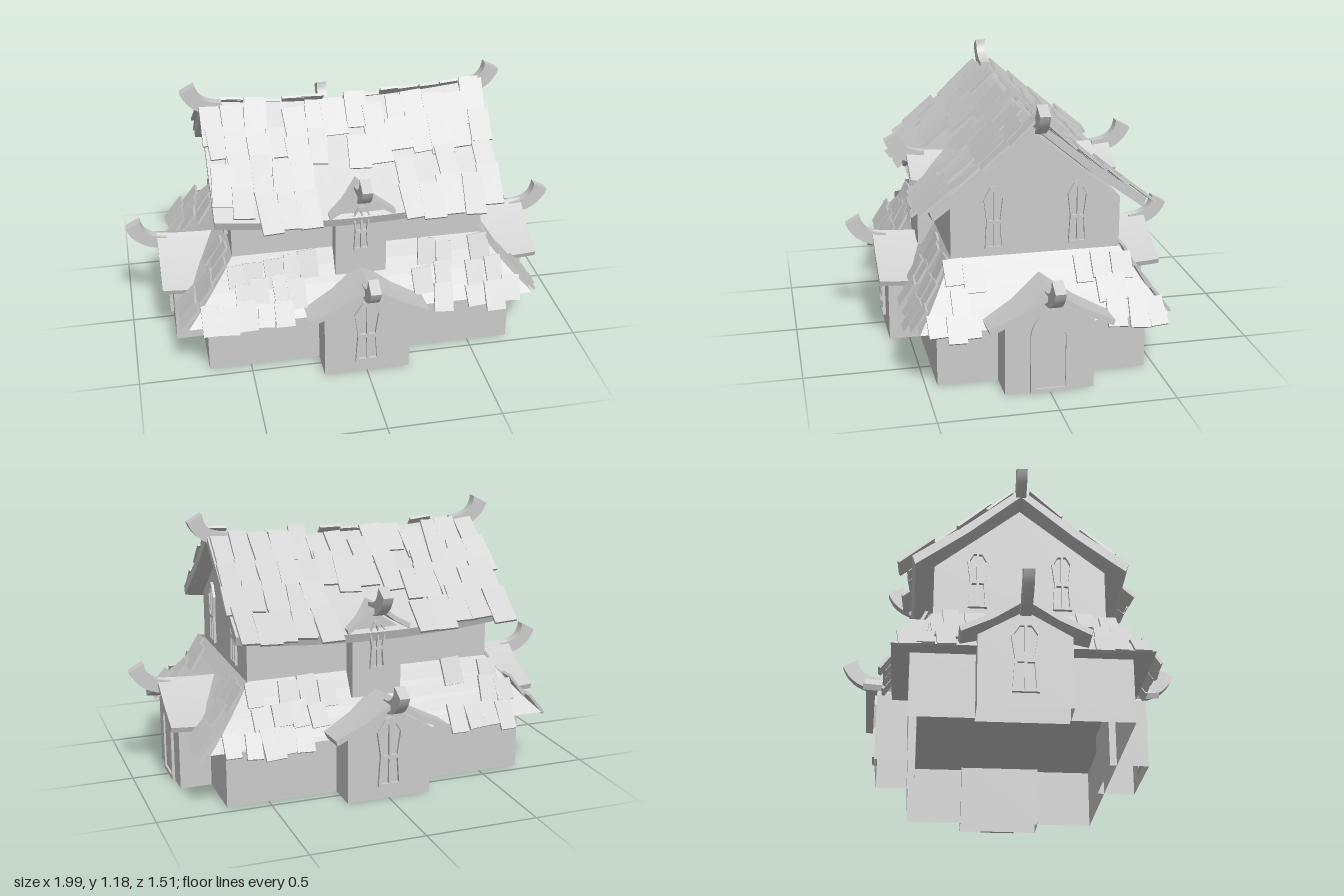
import * as THREE from 'three';
import { mergeGeometries, toCreasedNormals } from 'three/addons/utils/BufferGeometryUtils.js';

const flat = new THREE.MeshStandardMaterial({ color: 0xcccccc, flatShading: true, side: THREE.DoubleSide });
const smooth = new THREE.MeshStandardMaterial({ color: 0xcccccc, side: THREE.DoubleSide });
const V = (x, y, z) => new THREE.Vector3(x, y, z);

let seed = 7;
const rand = () => (seed = (seed * 16807) % 2147483647) / 2147483647;
const jitter = a => (rand() - 0.5) * 2 * a;

function add(parent, name, geometry, material = flat) {
  const mesh = new THREE.Mesh(geometry, material);
  mesh.name = name;
  parent.add(mesh);
  return mesh;
}

function shapeOf(points) {
  return new THREE.Shape(points.map(p => new THREE.Vector2(p[0], p[1])));
}

function extrude(shape, depth, steps = 1) {
  return new THREE.ExtrudeGeometry(shape, { depth, steps, bevelEnabled: false, curveSegments: 8 });
}

// Move every vertex by a rule
function warp(geometry, rule) {
  const p = geometry.attributes.position;
  for (let i = 0; i < p.count; i++) {
    const v = V().fromBufferAttribute(p, i);
    rule(v, i);
    p.setXYZ(i, v.x, v.y, v.z);
  }
  return geometry;
}

// Walls following a profile from z0 to z1, closed at the ends, open underneath
function walls(profile, z0, z1) {
  const n = profile.length;
  const skin = warp(new THREE.PlaneGeometry(1, 1, n - 1, 1), (v, i) => {
    v.set(...profile[i % n], i < n ? z0 : z1);
  });
  const front = new THREE.ShapeGeometry(shapeOf(profile)).translate(0, 0, z1);
  const back = new THREE.ShapeGeometry(shapeOf(profile)).rotateY(Math.PI).translate(0, 0, z0);
  return mergeGeometries([skin, front, back]);
}

const house = (w, base, eave, peak) => [[-w, base], [-w, eave], [0, peak], [w, eave], [w, base]];

// Slightly hollow gable roof slab running along z
function gableRoof(w, eave, peak, thick, dip, z0, z1, bend) {
  const mid = (eave + peak) / 2 - dip;
  const top = [[-w, eave], [-w / 2, mid], [0, peak], [w / 2, mid], [w, eave]];
  const under = top.map(([x, y]) => [x * 0.97, y - thick]).reverse();
  const g = extrude(shapeOf([...top, ...under]), z1 - z0, 12).translate(0, 0, z0);
  return toCreasedNormals(warp(g, bend), 0.5);
}

// Curved ridge horn, pointing along +z, based at the ridge end
function horn(parent, y, z) {
  const s = new THREE.Shape();
  s.moveTo(-0.04, -0.065);
  s.quadraticCurveTo(0.1, -0.055, 0.14, 0.05);
  s.lineTo(0.075, 0.085);
  s.quadraticCurveTo(0.07, 0, -0.04, -0.005);
  const g = extrude(s, 0.045).translate(0, 0, -0.0225).rotateY(-Math.PI / 2).translate(0, y, z);
  add(parent, 'ridgeHorn', toCreasedNormals(g, 0.6), smooth);
}

// Waisted, pointed window frame with four panes cut out
function windowFrame(parent, x, y, z, w, h) {
  const half = t => w * (t < 0.45 ? 0.9 - t * 0.35 : t < 0.78 ? 0.74 + (t - 0.45) * 0.75 : 0.99 - (t - 0.78) * 3.3);
  const levels = [0, 0.45, 0.78, 0.97];
  const shape = shapeOf([
    ...levels.map(t => [half(t), t * h]), [0, h], ...levels.map(t => [-half(t), t * h]).reverse()]);
  for (const side of [-1, 1]) {
    for (const ts of [[0.04, 0.4], [0.45, 0.78, 0.9]]) {
      const pane = [...ts.map(t => [half(t) - w * 0.2, t * h]), ...ts.map(t => [w * 0.1, t * h]).reverse()];
      shape.holes.push(new THREE.Path(pane.map(([px, py]) => new THREE.Vector2(px * side, py))));
    }
  }
  add(parent, 'windowFrame', extrude(shape, 0.02).translate(x, y, z - 0.005));
}

// Pointed arch outline
function arch(ShapeType, w, y0, spring, top) {
  const s = new ShapeType();
  s.moveTo(-w, y0);
  s.lineTo(w, y0);
  s.lineTo(w, spring);
  s.quadraticCurveTo(w * 0.9, top - 0.04, 0, top);
  s.quadraticCurveTo(-w * 0.9, top - 0.04, -w, spring);
  s.lineTo(-w, y0);
  return s;
}

function door(parent, z) {
  const frame = arch(THREE.Shape, 0.083, 0, 0.26, 0.375);
  frame.holes.push(arch(THREE.Path, 0.066, 0.018, 0.25, 0.33));
  add(parent, 'doorFrame', extrude(frame, 0.018).translate(0, 0, z - 0.005));
  add(parent, 'doorPanel', extrude(arch(THREE.Shape, 0.068, 0.016, 0.25, 0.332), 0.008).translate(0, 0, z - 0.004));
}

// Shingles laid in jittered rows on a slope f(across, down)
function shingles(parent, name, f, rows, size, keep, span) {
  const list = [];
  for (const v of rows) {
    const limit = span(v);
    const count = Math.round(limit * 2 / (size[0] * 0.98));
    for (let i = 0; i < count; i++) {
      const s = -limit + (i + 0.5) * 2 * limit / count + jitter(0.012);
      const vv = v + jitter(0.06);
      const [r1, r2, r3] = [rand(), rand(), rand()];
      if (!keep(s, vv, r1)) continue;
      const down = f(s, vv + 0.05).sub(f(s, vv - 0.05)).normalize();
      const across = f(s + 0.01, vv).sub(f(s - 0.01, vv)).normalize();
      const n = V().crossVectors(down, across).normalize();
      across.crossVectors(n, down);
      const g = new THREE.BoxGeometry(size[0] * (0.85 + r2 * 0.3), 0.012, size[1] * (0.85 + r3 * 0.35));
      g.rotateX(0.05 + r2 * 0.06).rotateY(jitter(0.09));
      g.applyMatrix4(new THREE.Matrix4().makeBasis(across, n, down));
      const p = f(s, vv).addScaledVector(n, 0.014);
      list.push(g.translate(p.x, p.y, p.z));
    }
  }
  add(parent, name, mergeGeometries(list));
}

export function createModel() {
  const model = new THREE.Group();
  const facing = (name, angle) => {
    const g = new THREE.Group();
    g.name = name;
    g.rotation.y = angle;
    model.add(g);
    return g;
  };

  // Ground floor
  add(model, 'groundFloorWalls', walls([[-0.685, 0], [-0.685, 0.28], [0.685, 0.28], [0.685, 0]], -0.455, 0.45));

  // Skirt roof around the ground floor
  const corners = [[-1, 1], [1, 1], [1, -1], [-1, -1], [-1, 1]];
  const skirtY = v => 0.53 - 0.255 * v - 0.05 * v * (1 - v);
  add(model, 'skirtRoof', warp(new THREE.PlaneGeometry(1, 1, 4, 4), (p, i) => {
    const [cx, cz] = corners[i % 5], v = Math.floor(i / 5) / 4;
    p.set(cx * (0.55 + 0.22 * v), skirtY(v), cz * (0.36 + 0.17 * v));
  }));
  add(model, 'skirtSoffit', new THREE.PlaneGeometry(1.54, 1.06).rotateX(Math.PI / 2).translate(0, 0.275, 0));

  // Upper floor and its sagging main roof, both running along x
  const upper = facing('upperFloor', Math.PI / 2);
  const sag = z => 0.04 * (z / 0.62) ** 2;
  add(upper, 'upperWalls', warp(walls(house(0.365, 0.45, 0.71, 1.0), -0.555, 0.56), p => {
    if (p.y > 0.6) p.y += sag(p.z);
  }));
  add(upper, 'mainRoof', gableRoof(0.46, 0.71, 1.06, 0.04, 0.012, -0.63, 0.63, p => { p.y += sag(p.z); }), smooth);

  // Gable windows and main ridge horns
  for (const side of [-1, 1]) {
    const end = facing('gableEnd', side * Math.PI / 2);
    for (const x of [-0.18, 0.18]) windowFrame(end, x, 0.55, 0.557, 0.045, 0.28);
    horn(end, 1.1, 0.575);
  }

  // Projecting bays: angle, wall front, wall back, roof front, roof back, horn position
  const bays = [
    ['frontBay', 0, 0.59, 0.42, 0.635, 0.38, 0.615],
    ['backBay', Math.PI, 0.595, 0.42, 0.655, 0.38, 0.62],
    ['doorBay', Math.PI / 2, 0.825, 0.65, 0.872, 0.6, 0.857],
    ['leftBay', -Math.PI / 2, 0.81, 0.65, 0.86, 0.6, 0.857],
  ];
  for (const [name, angle, front, back, roofFront, roofBack, hornZ] of bays) {
    const bay = facing(name, angle);
    add(bay, 'bayWalls', walls(house(0.19, 0, 0.305, 0.415), back, front));
    add(bay, 'bayRoof', gableRoof(0.265, 0.305, 0.45, 0.024, 0.012, roofBack, roofFront, p => {
      p.y += 0.012 * ((p.z - roofBack) / (roofFront - roofBack)) ** 2;
    }), smooth);
    horn(bay, 0.455, hornZ);
    if (name === 'doorBay') door(bay, front);
    else windowFrame(bay, 0, 0.06, front, 0.06, 0.315);
  }

  // Upper dormers
  for (const angle of [0, Math.PI]) {
    const dormer = facing('dormer', angle);
    add(dormer, 'dormerWalls', walls(house(0.112, 0.42, 0.715, 0.79), 0.32, 0.44));
    add(dormer, 'dormerRoof', gableRoof(0.145, 0.725, 0.825, 0.022, 0.008, 0.26, 0.47, p => {
      p.y += 0.012 * ((p.z - 0.26) / 0.21) ** 2;
    }), smooth);
    windowFrame(dormer, 0, 0.545, 0.44, 0.038, 0.215);
    horn(dormer, 0.835, 0.43);
  }

  // Shingles on every slope
  for (const angle of [0, Math.PI]) {
    const slope = facing('longSlope', angle);
    shingles(slope, 'mainShingles',
      (x, v) => V(x, 1.06 - 0.35 * v - 0.045 * v * (1 - v) + sag(x), 0.46 * v),
      [0.16, 0.4, 0.64, 0.9], [0.093, 0.165],
      (x, v, r) => r < 0.9 && !(Math.abs(x) < 0.18 && v > 0.5), () => 0.63);
    shingles(slope, 'skirtShingles', (x, v) => V(x, skirtY(v), 0.36 + 0.17 * v),
      [0.25, 0.58, 0.92], [0.08, 0.115],
      (x, v, r) => r < 0.72 && Math.abs(x) > 0.12 + 0.18 * v, v => 0.53 + 0.19 * v);
  }
  for (const angle of [Math.PI / 2, -Math.PI / 2]) {
    const slope = facing('shortSlope', angle);
    shingles(slope, 'skirtShingles', (x, v) => V(x, skirtY(v), 0.55 + 0.22 * v),
      [0.25, 0.58, 0.92], [0.08, 0.115],
      (x, v, r) => r < 0.78 && Math.abs(x) > 0.12 + 0.18 * v, v => 0.36 + 0.16 * v);
  }
  return model;
}
